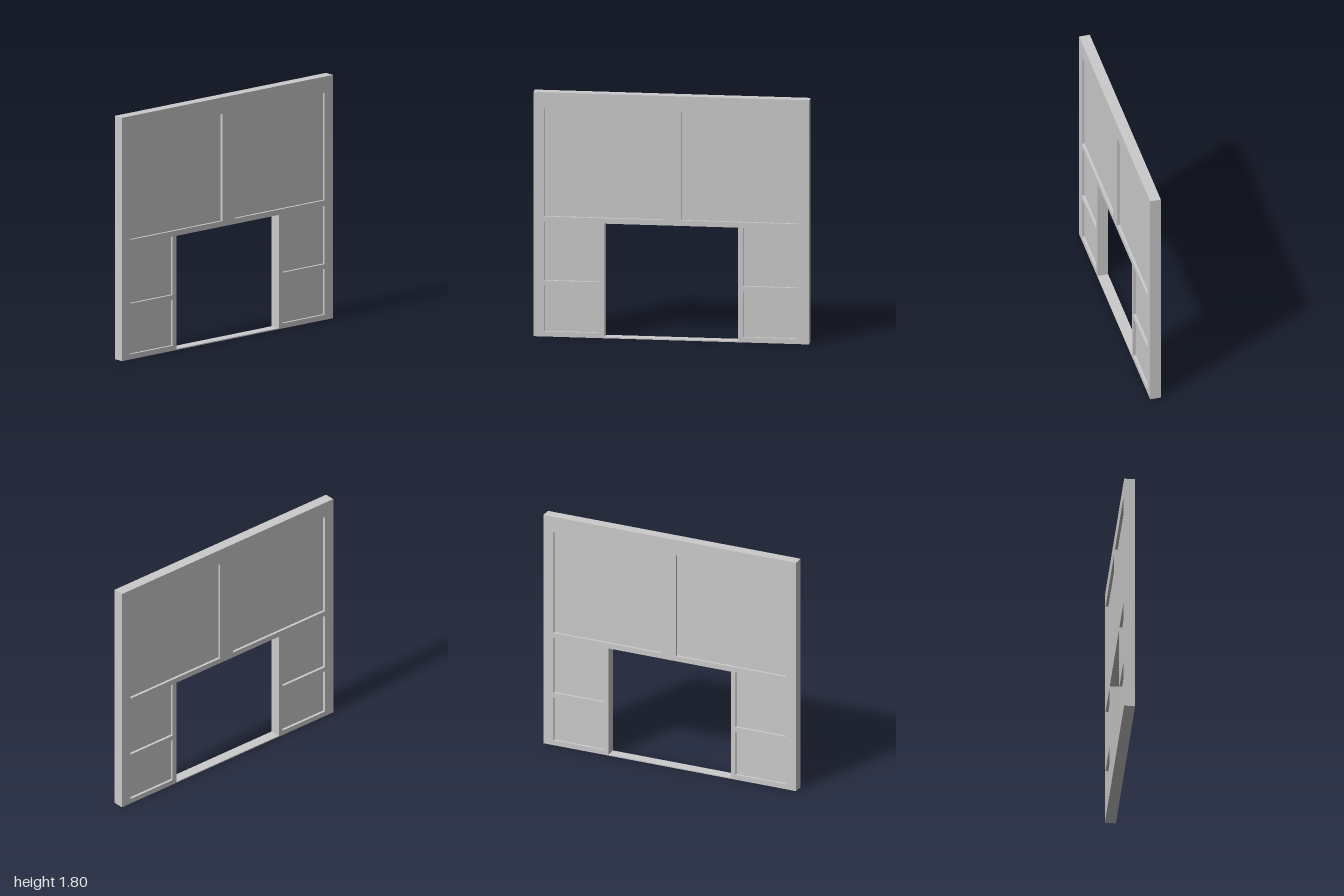
import * as THREE from 'three';

const DEPTH = 0.08, RECESS = 0.02;

// Rectangles as [x0, x1, y0, y1]
const OPENING = [-0.485, 0.485, 0.008, 0.845];
const PANELS = {
  upperRightPanel: [-0.92, -0.05, 0.885, 1.68],
  upperLeftPanel: [0.07, 0.92, 0.885, 1.68],
  middleRightPanel: [-0.92, -0.52, 0.413, 0.845],
  middleLeftPanel: [0.52, 0.92, 0.413, 0.845],
  lowerRightPanel: [-0.92, -0.52, 0.038, 0.377],
  lowerLeftPanel: [0.52, 0.92, 0.038, 0.377],
};

function rectangle(Type, [x0, x1, y0, y1]) {
  return new Type([[x0, y0], [x1, y0], [x1, y1], [x0, y1]].map(([x, y]) => new THREE.Vector2(x, y)));
}

export function createModel() {
  const group = new THREE.Group();
  group.name = 'panelledWall';
  const material = new THREE.MeshStandardMaterial({ color: 0xcccccc });

  // Full-depth frame with the doorway, its thin sill and the panel cut-outs
  const outline = rectangle(THREE.Shape, [-1, 1, 0, 1.8]);
  for (const hole of [OPENING, ...Object.values(PANELS)]) {
    outline.holes.push(rectangle(THREE.Path, hole));
  }
  const frameGeometry = new THREE.ExtrudeGeometry(outline, { depth: DEPTH, bevelEnabled: false });
  frameGeometry.translate(0, 0, -DEPTH / 2);
  const frame = new THREE.Mesh(frameGeometry, material);
  frame.name = 'frame';
  group.add(frame);

  // Thinner panels, set back on both the front and the back
  for (const [name, [x0, x1, y0, y1]] of Object.entries(PANELS)) {
    const panel = new THREE.Mesh(new THREE.BoxGeometry(x1 - x0, y1 - y0, DEPTH - 2 * RECESS), material);
    panel.position.set((x0 + x1) / 2, (y0 + y1) / 2, 0);
    panel.name = name;
    group.add(panel);
  }
  return group;
}
